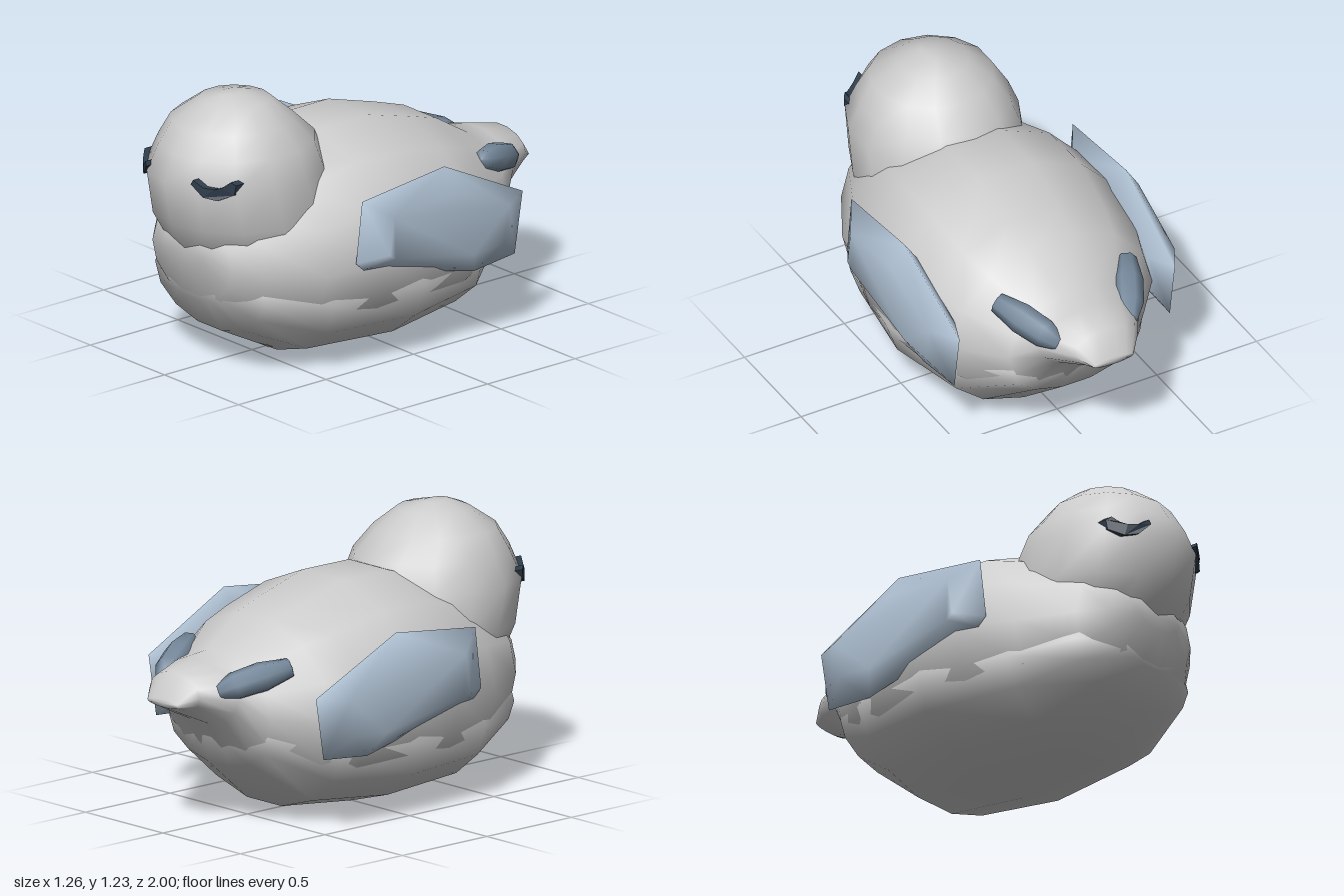
import * as THREE from 'three';
import { mergeVertices } from 'three/addons/utils/BufferGeometryUtils.js';
import { ConvexGeometry } from 'three/addons/geometries/ConvexGeometry.js';

const SIDES = 14;
const material = (color) => new THREE.MeshStandardMaterial({ color, roughness: 0.8 });
const grey = material(0xcccccc);
const wingBlue = material(0xb0c2d4);
const featherBlue = material(0x76899c);
const eyeDark = material(0x2f3d4c);

function addMesh(group, name, geometry, mat) {
  const mesh = new THREE.Mesh(geometry, mat);
  mesh.name = name;
  group.add(mesh);
  return mesh;
}

// Closed smooth skin over a row of rings; place(section, cos, sin) gives a point.
function loft(sections, place) {
  const pos = [], index = [];
  for (const s of sections) {
    for (let i = 0; i < SIDES; i++) {
      const a = (i / SIDES) * Math.PI * 2;
      pos.push(...place(s, Math.cos(a), Math.sin(a)));
    }
  }
  const last = sections.length - 1;
  const start = pos.length / 3, end = start + 1;
  pos.push(...place(sections[0], 0, 0), ...place(sections[last], 0, 0));
  for (let i = 0; i < SIDES; i++) {
    const j = (i + 1) % SIDES;
    for (let r = 0; r < last; r++) {
      const a = r * SIDES, b = a + SIDES;
      index.push(a + i, a + j, b + j, a + i, b + j, b + i);
    }
    index.push(start, j, i, end, last * SIDES + i, last * SIDES + j);
  }
  const g = new THREE.BufferGeometry();
  g.setAttribute('position', new THREE.Float32BufferAttribute(pos, 3));
  g.setIndex(index);
  g.computeVertexNormals();
  return g;
}

// Section along z: [z, bottom, top, half width]
const alongZ = ([z, bottom, top, w], c, s) =>
  [w * c, (bottom + top) / 2 + ((top - bottom) / 2) * s, z];
// Section along y: [y, back z, front z, half width]
const alongY = ([y, back, front, w], c, s) =>
  [w * s, y, (back + front) / 2 + ((front - back) / 2) * c];

// Thick lens-like wing: outline ring plus an inset face on each side
function wingGeometry(side) {
  const outline = [[0.34, 0.81], [-0.13, 0.865], [-0.59, 0.64], [-0.545, 0.36],
    [-0.3, 0.34], [0.23, 0.49], [0.33, 0.49], [0.375, 0.53]];
  const points = [];
  for (const [z, y] of outline) {
    const zi = -0.1 + (z + 0.1) * 0.72, yi = 0.6 + (y - 0.6) * 0.6;
    const rim = z < -0.5 ? 0.54 : 0.555;
    points.push(new THREE.Vector3(side * rim, y, z),
      new THREE.Vector3(side * (0.625 + 0.02 * zi), yi, zi),
      new THREE.Vector3(side * 0.485, yi, zi));
  }
  const g = new ConvexGeometry(points);
  g.deleteAttribute('normal');
  const smooth = mergeVertices(g, 1e-4);
  smooth.computeVertexNormals();
  return smooth;
}

// Closed, smiling eye wrapped onto the front of the head
function eyeGeometry(side) {
  const outline = [[0.15, 0.93], [0.16, 0.95], [0.2, 0.92], [0.24, 0.915], [0.265, 0.925],
    [0.29, 0.95], [0.305, 0.935], [0.3, 0.89], [0.25, 0.863], [0.2, 0.875]];
  const shape = new THREE.Shape(outline.map(([x, y]) => new THREE.Vector2(side * x, y)));
  const g = new THREE.ExtrudeGeometry(shape, { depth: 0.06, bevelEnabled: false });
  const p = g.attributes.position;
  for (let i = 0; i < p.count; i++) {
    const surface = 0.6 + 0.4 * Math.sqrt(1 - (p.getX(i) / 0.38) ** 2);
    p.setZ(i, surface - 0.05 + p.getZ(i));
  }
  g.computeVertexNormals();
  return g;
}

export function createModel() {
  const bird = new THREE.Group();
  bird.name = 'bird';

  // Plump body running into the tail
  addMesh(bird, 'bodyAndTail', loft([
    [-1, 0.575, 0.61, 0.1], [-0.93, 0.54, 0.72, 0.16], [-0.78, 0.47, 0.75, 0.25],
    [-0.67, 0.27, 0.77, 0.34], [-0.46, 0.09, 0.9, 0.5], [-0.3, 0.03, 0.95, 0.56],
    [-0.05, 0.01, 1.02, 0.605], [0.22, 0.01, 1.02, 0.59], [0.5, 0.04, 0.93, 0.51],
    [0.74, 0.18, 0.82, 0.38], [0.84, 0.33, 0.72, 0.27], [0.885, 0.5, 0.64, 0.14],
  ], alongZ), grey);

  // Fuller underside
  addMesh(bird, 'belly', loft([
    [-0.74, 0.4, 0.5, 0.12], [-0.67, 0.26, 0.6, 0.32], [-0.4, 0.04, 0.68, 0.5],
    [0, 0, 0.7, 0.575], [0.45, 0.02, 0.65, 0.5], [0.74, 0.17, 0.58, 0.37],
    [0.845, 0.33, 0.5, 0.17],
  ], alongZ), grey);

  // Round head with neck sunk into the body
  addMesh(bird, 'head', loft([
    [0.5, 0.15, 0.84, 0.36], [0.7, 0.12, 0.965, 0.39], [0.9, 0.19, 1, 0.385],
    [1.02, 0.23, 0.95, 0.335], [1.12, 0.34, 0.885, 0.275], [1.205, 0.44, 0.76, 0.16],
    [1.235, 0.55, 0.68, 0.04],
  ], alongY), grey);

  // Mirrored wings, eyes and tail feathers
  const featherProfile = [[0, -0.18], [0.045, -0.17], [0.07, -0.04], [0.065, 0.09],
    [0.035, 0.17], [0, 0.175]].map(([r, y]) => new THREE.Vector2(r, y));
  for (const [side, label] of [[1, 'left'], [-1, 'right']]) {
    addMesh(bird, label + 'Wing', wingGeometry(side), wingBlue);
    addMesh(bird, label + 'Eye', eyeGeometry(side), eyeDark);

    const feather = addMesh(bird, label + 'TailFeather',
      new THREE.LatheGeometry(featherProfile, 7), featherBlue);
    feather.position.set(side * 0.25, 0.69, -0.69);
    feather.quaternion.setFromUnitVectors(new THREE.Vector3(0, 1, 0),
      new THREE.Vector3(-side * 0.15, -0.09, -0.3).normalize());
  }
  return bird;
}
